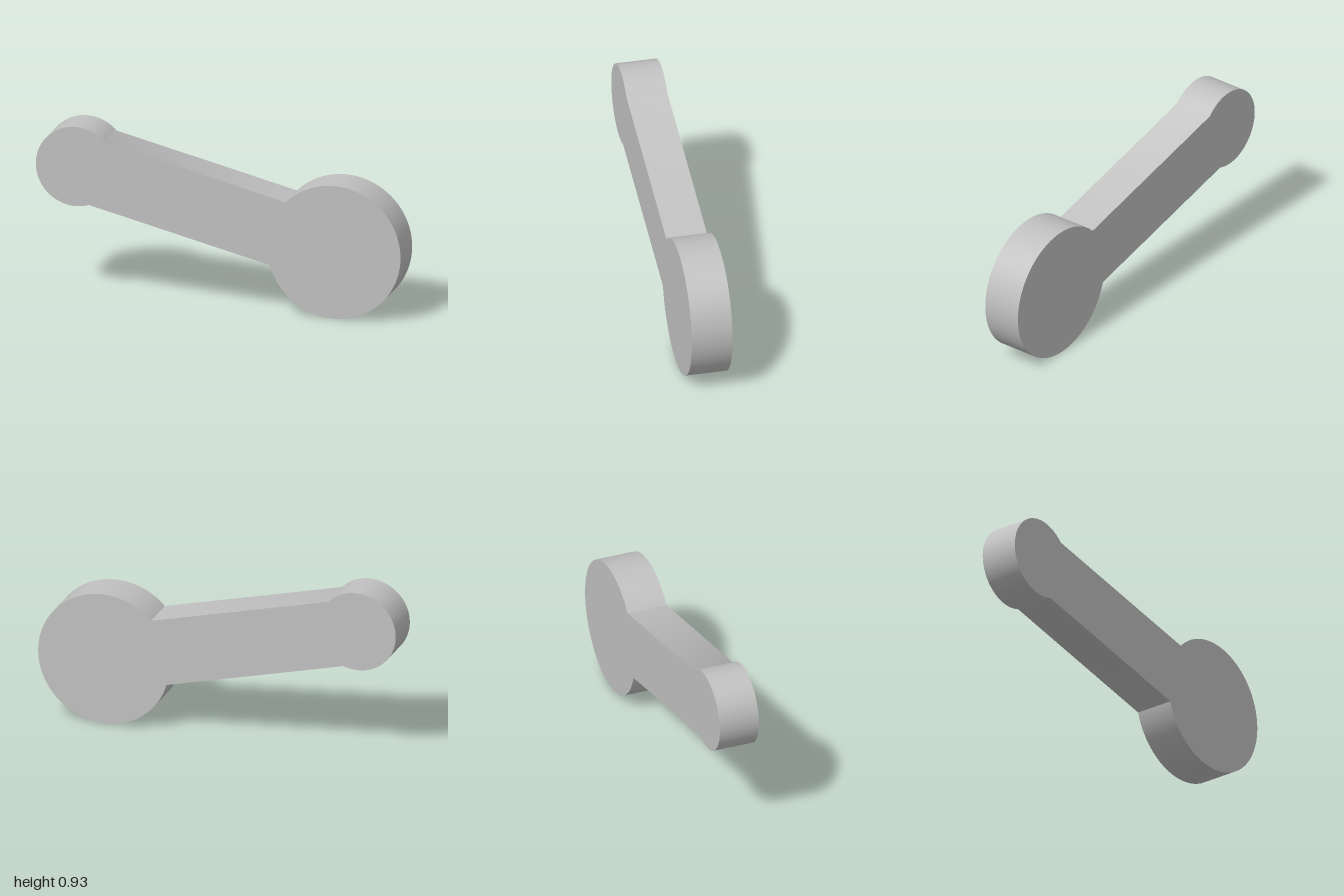
import * as THREE from 'three';
import { toCreasedNormals } from 'three/addons/utils/BufferGeometryUtils.js';

export function createModel() {
  const group = new THREE.Group();
  group.name = 'linkArm';
  const grey = new THREE.MeshStandardMaterial({ color: 0xc0c0c0 });
  grey.name = 'plain grey';

  // Two round ends joined by a straight bar
  const large = { x: 0.635, y: 0.366, r: 0.366 };
  const small = { x: -0.782, y: 0.716, r: 0.218 };
  const barHalf = 0.182, depth = 0.22;

  // Angle of the bar, and half angle each round end loses to it
  const tilt = Math.atan2(large.y - small.y, large.x - small.x);
  const gapLarge = Math.asin(barHalf / large.r);
  const gapSmall = Math.asin(barHalf / small.r);

  // Outline: around the large end, along the bar, around the small end
  const outline = new THREE.Shape();
  outline.absarc(large.x, large.y, large.r, tilt - Math.PI + gapLarge, tilt + Math.PI - gapLarge, false);
  outline.absarc(small.x, small.y, small.r, tilt + gapSmall, tilt + 2 * Math.PI - gapSmall, false);
  outline.closePath();

  const solid = new THREE.ExtrudeGeometry(outline, { depth, bevelEnabled: false, curveSegments: 72 });
  solid.translate(0, 0, -depth / 2);

  const arm = new THREE.Mesh(toCreasedNormals(solid, THREE.MathUtils.degToRad(40)), grey);
  arm.name = 'arm';
  group.add(arm);
  return group;
}
